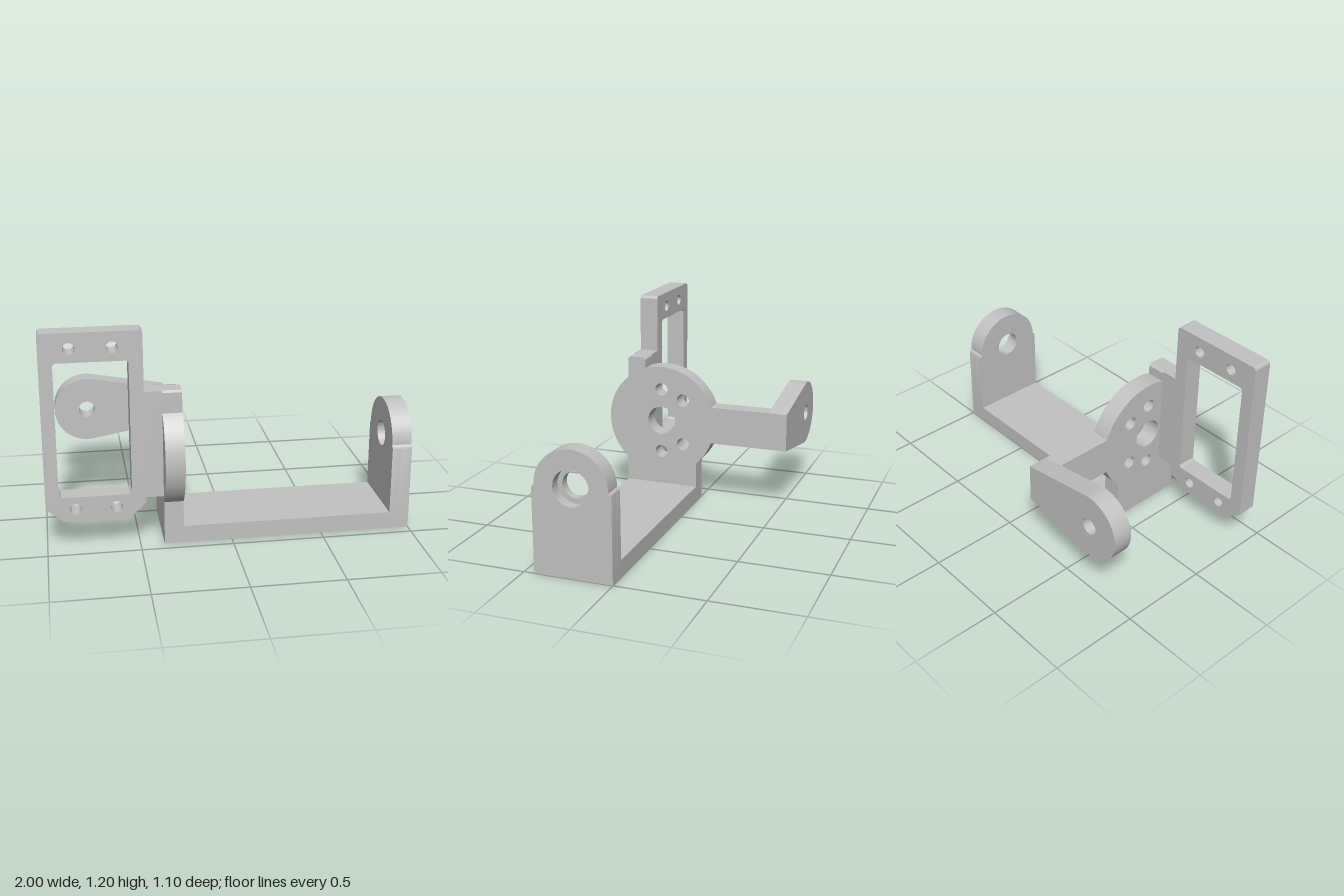
import * as THREE from 'three';
import { toCreasedNormals } from 'three/addons/utils/BufferGeometryUtils.js';

const rad = THREE.MathUtils.degToRad;

// Polygon outline from [x, y] points
function outline(points) {
  return new THREE.Shape(points.map(([x, y]) => new THREE.Vector2(x, y)));
}

function addHole(shape, x, y, r) {
  const hole = new THREE.Path();
  hole.absarc(x, y, r, 0, Math.PI * 2, true);
  shape.holes.push(hole);
}

export function createModel() {
  const model = new THREE.Group();
  model.name = 'servoBracket';
  const grey = new THREE.MeshStandardMaterial({ color: 0xc2c2c2 });
  grey.name = 'light grey';

  function addPart(name, geometry) {
    const mesh = new THREE.Mesh(geometry, grey);
    mesh.name = name;
    model.add(mesh);
  }
  function slab(shape, depth) {
    const geometry = new THREE.ExtrudeGeometry(shape, { depth, bevelEnabled: false, curveSegments: 32 });
    return toCreasedNormals(geometry, rad(25));
  }
  // Outline drawn in (-z, y), extruded along x
  function plateAcross(name, shape, x0, x1) {
    addPart(name, slab(shape, x1 - x0).rotateY(Math.PI / 2).translate(x0, 0, 0));
  }
  // Outline drawn in (x, y), extruded along z
  function plateFacing(name, shape, z0, z1) {
    addPart(name, slab(shape, z1 - z0).translate(0, 0, z0));
  }

  const axisU = -0.22, axisY = 0.49;

  // Hub: disc, foot, rear arm and upright tab in one plate
  const hub = outline([[-0.44, 0], [0, 0]]);
  const arc = (a, b) => hub.absarc(axisU, axisY, 0.33, rad(a), rad(b), false);
  arc(-48.2, -19.47);
  hub.lineTo(0.44, 0.38);
  hub.lineTo(0.44, 0.6);
  arc(19.47, 107.6);
  hub.lineTo(-0.32, 0.857);
  hub.lineTo(-0.333, 0.868);
  hub.lineTo(-0.417, 0.868);
  hub.lineTo(-0.43, 0.857);
  arc(129.5, 228.2);
  addHole(hub, axisU, axisY, 0.085);
  for (const a of [-90, -45, 45, 90]) {
    addHole(hub, axisU + 0.192 * Math.cos(rad(a)), axisY + 0.192 * Math.sin(rad(a)), 0.038);
  }
  plateAcross('hubPlate', hub, -0.37, -0.265);

  // Bridge between the two uprights
  addPart('bridge', new THREE.BoxGeometry(1.155, 0.096, 0.44).translate(0.3125, 0.048, 0.22));

  // Round-topped upright with a counterbored hole, made of two layers
  function upright(holeRadius) {
    const shape = outline([[-0.44, 0], [0, 0], [0, 0.468], [-0.004, 0.48]]);
    shape.absarc(axisU, axisY, 0.205, 0, Math.PI, false);
    shape.lineTo(-0.436, 0.48);
    shape.lineTo(-0.44, 0.468);
    addHole(shape, axisU, axisY, holeRadius);
    return shape;
  }
  plateAcross('uprightInner', upright(0.072), 0.89, 0.94);
  plateAcross('uprightOuter', upright(0.1), 0.94, 1);

  // Rectangular mounting frame with screw holes
  const frame = outline([
    [-0.905, 0.16], [-0.555, 0.16], [-0.465, 0.245], [-0.465, 0.275], [-0.37, 0.275], [-0.37, 0.868],
    [-0.465, 0.868], [-0.465, 1.185], [-0.47, 1.195], [-0.48, 1.2],
    [-0.985, 1.2], [-0.995, 1.195], [-1, 1.185], [-1, 0.24],
  ]);
  const [l, r, b, t, c] = [-0.928, -0.54, 0.3, 1.042, 0.012];
  frame.holes.push(outline([
    [l + c, b], [l, b + c], [l, t - c], [l + c, t], [r - c, t], [r, t - c], [r, b + c], [r - c, b],
  ]));
  for (const x of [-0.842, -0.623]) {
    for (const y of [0.232, 1.116]) addHole(frame, x, y, 0.031);
  }
  plateFacing('mountingFrame', frame, 0.32, 0.43);

  // Tapered rear lug with a pivot hole
  const lug = outline([[-0.265, 0.38], [-0.265, 0.6]]);
  lug.absarc(-0.735, axisY, 0.19, rad(80), rad(280), false);
  addHole(lug, -0.735, axisY, 0.048);
  plateFacing('rearLug', lug, -0.55, -0.44);

  return model;
}
